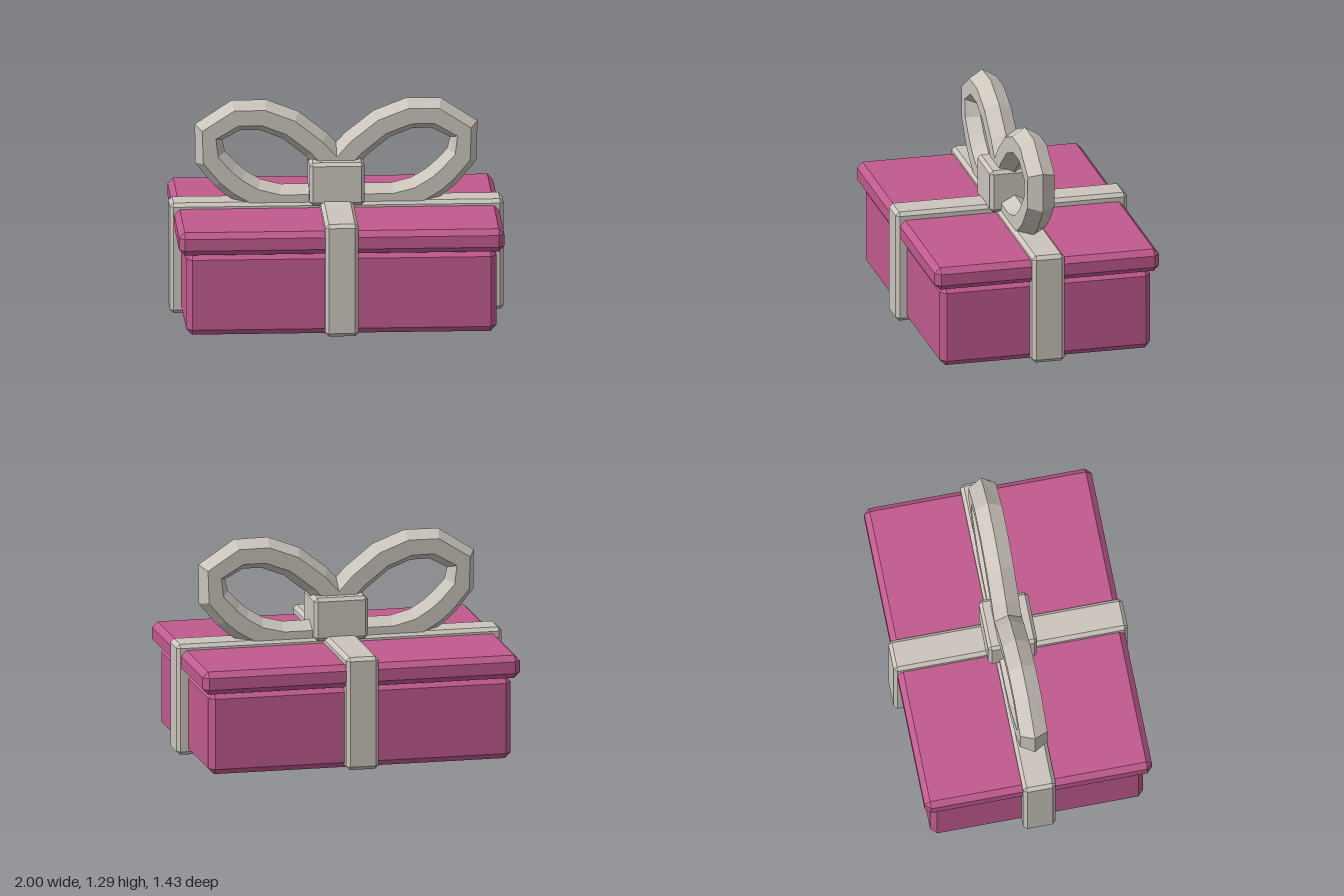
import * as THREE from 'three';
import { ConvexGeometry } from 'three/addons/geometries/ConvexGeometry.js';

const pink = new THREE.MeshStandardMaterial({ name: 'pink paper', color: 0xc05a8e, flatShading: true });
const ribbon = new THREE.MeshStandardMaterial({ name: 'pale ribbon', color: 0xcbc5bc, flatShading: true });

// Box with every edge chamfered by c, standing between y0 and y1
function chamferBox(name, halfX, y0, y1, halfZ, c, material) {
  const points = [];
  const h = (y1 - y0) / 2;
  for (const x of [-1, 1]) for (const y of [-1, 1]) for (const z of [-1, 1]) {
    for (const [i, j, k] of [[0, c, c], [c, 0, c], [c, c, 0]]) {
      points.push(new THREE.Vector3(x * (halfX - i), y * (h - j), z * (halfZ - k)));
    }
  }
  const mesh = new THREE.Mesh(new ConvexGeometry(points), material);
  mesh.position.y = (y0 + y1) / 2;
  mesh.name = name;
  return mesh;
}

// Six-sided band swept along a path in the xy plane
function bandGeometry(path, radius) {
  const sides = 6, positions = [], index = [];
  path.forEach(([x, y], i) => {
    const a = path[Math.max(i - 1, 0)], b = path[Math.min(i + 1, path.length - 1)];
    const n = new THREE.Vector2(a[1] - b[1], b[0] - a[0]).normalize();
    for (let k = 0; k < sides; k++) {
      const angle = k / sides * Math.PI * 2;
      const out = radius * Math.cos(angle);
      positions.push(x + n.x * out, y + n.y * out, radius * Math.sin(angle));
      if (i < path.length - 1) {
        const p = i * sides + k, q = i * sides + (k + 1) % sides;
        index.push(p, q, p + sides, q, q + sides, p + sides);
      }
    }
  });
  const geometry = new THREE.BufferGeometry();
  geometry.setAttribute('position', new THREE.Float32BufferAttribute(positions, 3));
  geometry.setIndex(index);
  geometry.computeVertexNormals();
  return geometry;
}

export function createModel() {
  const gift = new THREE.Group();
  gift.name = 'giftBox';

  // Box and overhanging lid
  gift.add(
    chamferBox('boxBody', 0.93, 0.003, 0.507, 0.65, 0.036, pink),
    chamferBox('lid', 0.975, 0.505, 0.645, 0.693, 0.034, pink),
  );

  // Crossed ribbons wrapped around the box
  gift.add(
    chamferBox('ribbonAcross', 1, 0, 0.68, 0.1, 0.022, ribbon),
    chamferBox('ribbonFrontToBack', 0.1, 0.001, 0.694, 0.714, 0.022, ribbon),
  );

  // Bow: central knot and two mirrored loops
  const bow = new THREE.Group();
  bow.name = 'bow';
  bow.add(chamferBox('knot', 0.165, 0.667, 0.93, 0.15, 0.02, ribbon));
  const loopGeometry = bandGeometry([
    [0, 0.88], [0.117, 1.01], [0.273, 1.134], [0.438, 1.198], [0.6, 1.198], [0.765, 1.096], [0.755, 0.94],
    [0.663, 0.834], [0.594, 0.775], [0.487, 0.711], [0.342, 0.674], [0.176, 0.674], [0, 0.7],
  ], 0.096);
  for (const side of ['left', 'right']) {
    const loop = new THREE.Mesh(loopGeometry, ribbon);
    loop.name = side + 'BowLoop';
    if (side === 'right') loop.rotation.y = Math.PI;
    bow.add(loop);
  }
  gift.add(bow);
  return gift;
}
